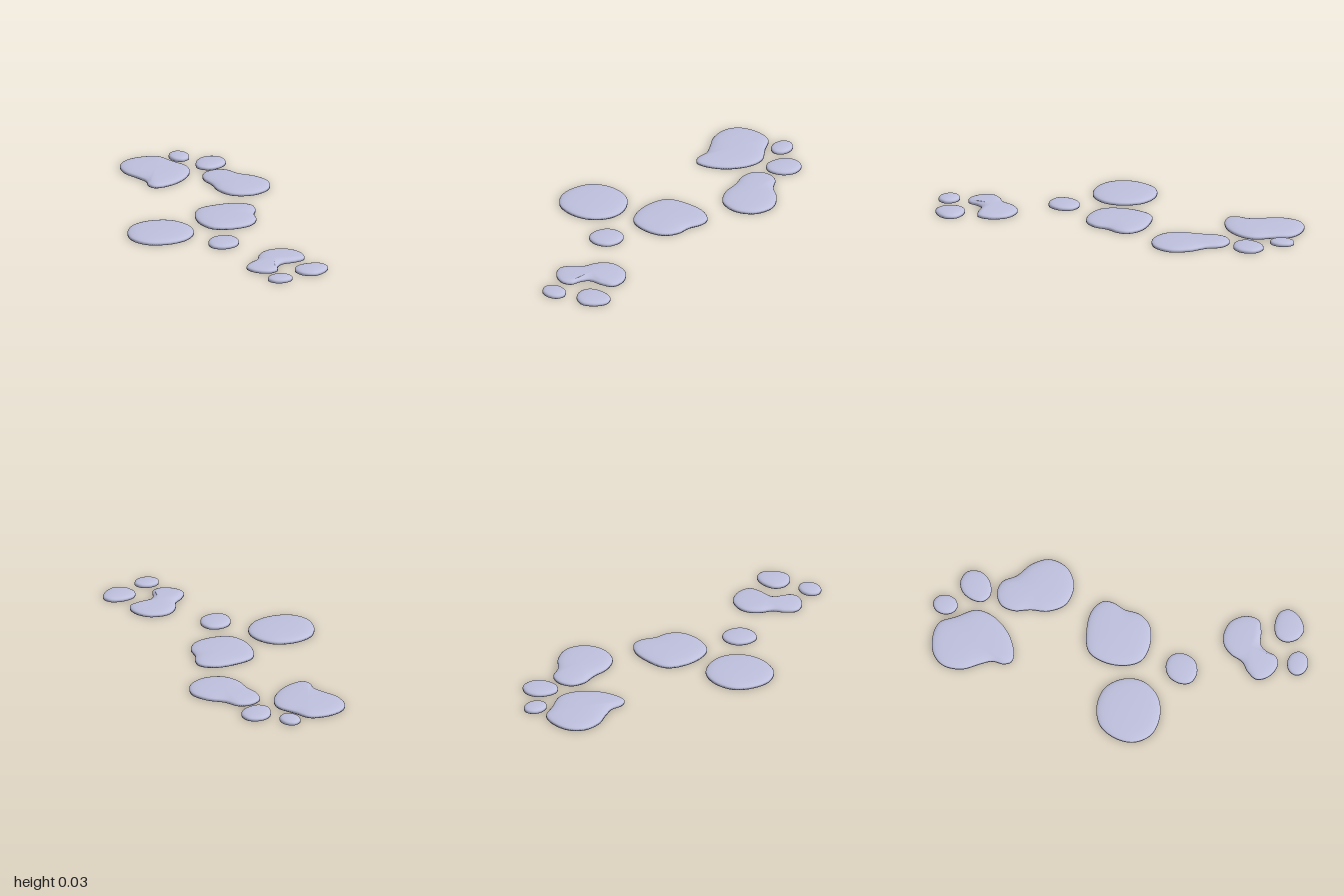
import * as THREE from 'three';

const material = new THREE.MeshStandardMaterial({ color: 0xbec0dd });
const SEGMENTS = 96;

// Rings from underside to top: [edge inset as a share of mean radius, scale about the centre, height]
const PROFILE = [
  [0.06, 0.72, 0], [0, 1, 0], [0, 1, 0.0095], [0.025, 1, 0.0145], [0.07, 0.98, 0.0182],
  [0.09, 0.9, 0.0208], [0.09, 0.78, 0.0228], [0.09, 0.5, 0.025],
];
const CROWN = 0.0262;

// Closed pebble lofted from a smooth outline of [x, z] points (clockwise from above)
function stone(name, outline) {
  const curve = new THREE.CatmullRomCurve3(
    outline.map(([x, z]) => new THREE.Vector3(x, 0, z)), true);
  const points = curve.getSpacedPoints(SEGMENTS).slice(0, SEGMENTS);
  const centre = new THREE.Vector3();
  points.forEach((p) => centre.addScaledVector(p, 1 / SEGMENTS));
  const radius = points.reduce((sum, p) => sum + p.distanceTo(centre), 0) / SEGMENTS;
  const lift = 0.86 + radius;

  const positions = [];
  const index = [];
  for (const [inset, scale, y] of PROFILE) {
    points.forEach((p, i) => {
      const next = points[(i + 2) % SEGMENTS];
      const prev = points[(i + SEGMENTS - 2) % SEGMENTS];
      const t = next.clone().sub(prev).normalize();
      const inward = new THREE.Vector3(-t.z, 0, t.x);
      const q = p.clone().addScaledVector(inward, inset * radius).lerp(centre, 1 - scale);
      positions.push(q.x, y * lift, q.z);
    });
  }
  const bottom = PROFILE.length * SEGMENTS;
  positions.push(centre.x, 0, centre.z, centre.x, CROWN * lift, centre.z);

  for (let i = 0; i < SEGMENTS; i++) {
    const j = (i + 1) % SEGMENTS;
    for (let r = 0; r < PROFILE.length - 1; r++) {
      const a = r * SEGMENTS;
      const b = a + SEGMENTS;
      index.push(a + i, b + i, b + j, a + i, b + j, a + j);
    }
    const top = (PROFILE.length - 1) * SEGMENTS;
    index.push(bottom, i, j, top + i, bottom + 1, top + j);
  }

  const geometry = new THREE.BufferGeometry();
  geometry.setAttribute('position', new THREE.Float32BufferAttribute(positions, 3));
  geometry.setIndex(index);
  geometry.computeVertexNormals();
  const mesh = new THREE.Mesh(geometry, material);
  mesh.name = name;
  return mesh;
}

// Outline of a plain oval pebble
function oval(x, z, rx, rz) {
  return Array.from({ length: 8 }, (_, i) => {
    const a = (i / 8) * Math.PI * 2;
    return [x + rx * Math.sin(a), z - rz * Math.cos(a)];
  });
}

export function createModel() {
  const group = new THREE.Group();
  group.name = 'steppingStones';

  // Back cluster
  group.add(
    stone('backLargeStone', [
      [-0.06, -0.972], [0.025, -0.95], [0.07, -0.87], [0.125, -0.77], [0.11, -0.685], [0.035, -0.59],
      [-0.06, -0.54], [-0.125, -0.537], [-0.148, -0.575], [-0.143, -0.64], [-0.168, -0.7],
      [-0.212, -0.79], [-0.208, -0.89], [-0.155, -0.95]]),
    stone('backTinyStone', oval(0.13, -0.935, 0.053, 0.065)),
    stone('backSmallStone', [
      [0.27, -0.878], [0.33, -0.85], [0.34, -0.78], [0.295, -0.725], [0.22, -0.71],
      [0.178, -0.745], [0.18, -0.8], [0.215, -0.857]]),
    stone('backPearStone', [
      [0.24, -0.678], [0.305, -0.66], [0.35, -0.59], [0.425, -0.525], [0.468, -0.434],
      [0.435, -0.335], [0.34, -0.285], [0.235, -0.31], [0.182, -0.395], [0.174, -0.49],
      [0.155, -0.575], [0.175, -0.645]]),
  );

  // Middle cluster
  group.add(
    stone('middleSquarishStone', [
      [0.11, -0.18], [0.22, -0.17], [0.282, -0.12], [0.283, -0.065], [0.255, 0], [0.243, 0.08],
      [0.19, 0.143], [0.085, 0.163], [-0.01, 0.133], [-0.051, 0.055], [-0.051, -0.06], [-0.005, -0.15]]),
    stone('middleRoundStone', [
      [-0.3, -0.058], [-0.19, -0.03], [-0.125, 0.063], [-0.126, 0.165], [-0.195, 0.25],
      [-0.3, 0.28], [-0.41, 0.252], [-0.467, 0.17], [-0.462, 0.07], [-0.405, -0.022]]),
    stone('middleSmallStone', [
      [-0.01, 0.263], [0.045, 0.285], [0.063, 0.345], [0.033, 0.41], [-0.035, 0.432],
      [-0.092, 0.405], [-0.102, 0.345], [-0.07, 0.285]]),
  );

  // Front cluster
  group.add(
    stone('frontKidneyStone', [
      [0.2, 0.534], [0.28, 0.56], [0.324, 0.635], [0.312, 0.705], [0.255, 0.727], [0.178, 0.737],
      [0.147, 0.775], [0.128, 0.825], [0.08, 0.843], [0.012, 0.808], [-0.015, 0.746],
      [0.02, 0.693], [0.07, 0.655], [0.1, 0.593], [0.145, 0.548]]),
    stone('frontSmallStone', [
      [0.317, 0.79], [0.378, 0.81], [0.397, 0.857], [0.362, 0.915], [0.296, 0.947],
      [0.238, 0.918], [0.217, 0.857], [0.243, 0.808]]),
    stone('frontTinyStone', oval(0.108, 0.945, 0.066, 0.055)),
  );

  return group;
}
